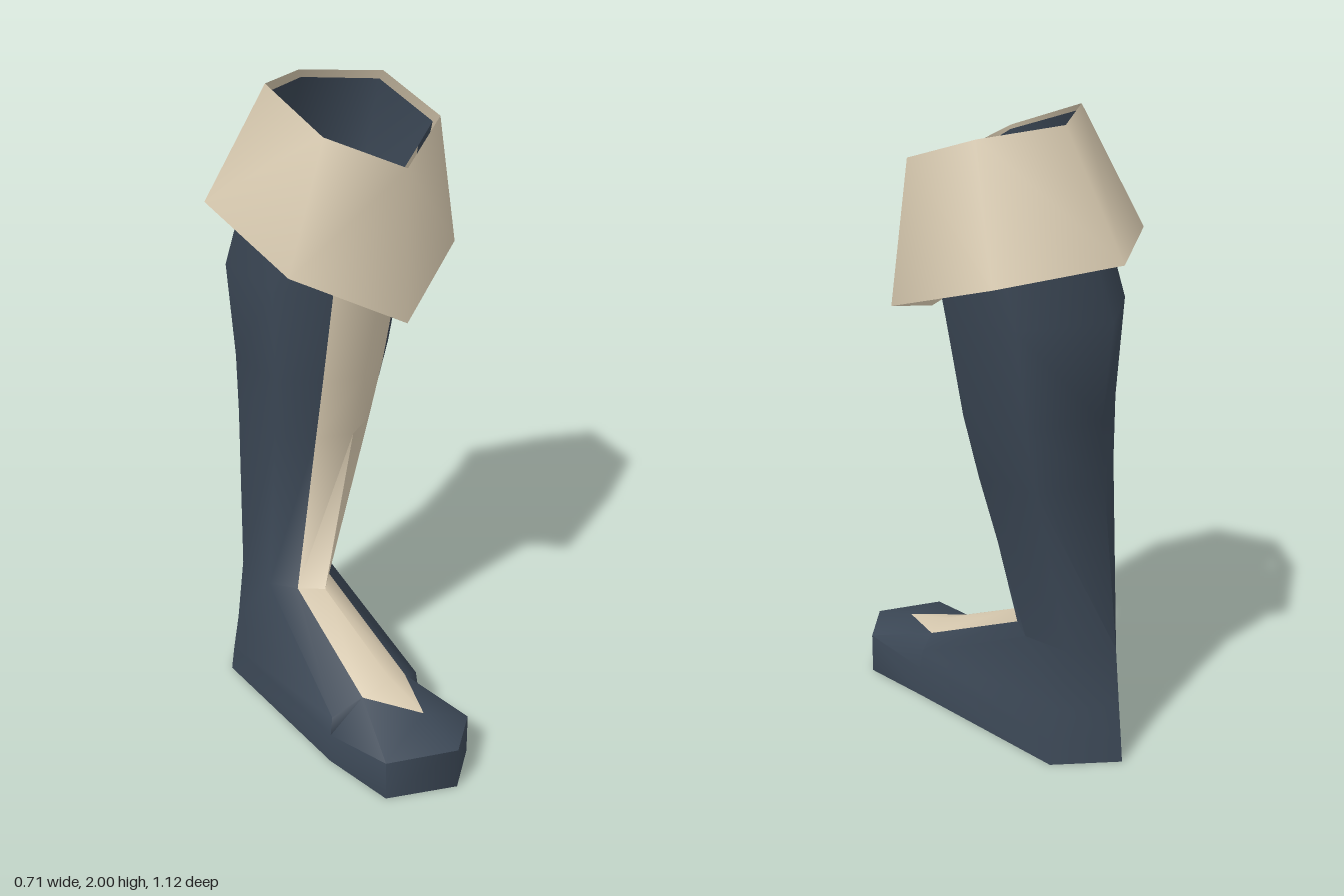
import * as THREE from 'three';
import { toCreasedNormals } from 'three/addons/utils/BufferGeometryUtils.js';

// Joins closed rings (listed top to bottom, each front > +x > back > -x) into a skin.
// Columns in stripCols, above row stripEnd, go in the second material group.
function loft(rings, stripCols = [], stripEnd = 0, closeBottom = false) {
  const n = rings[0].length;
  const main = [], strip = [];
  for (let i = 0; i < rings.length - 1; i++) {
    for (let j = 0; j < n; j++) {
      const k = (j + 1) % n;
      const a = i * n + j, b = i * n + k, c = a + n, d = b + n;
      const out = stripCols.includes(j) && i < stripEnd ? strip : main;
      // mirror the diagonal so both halves match
      if (j < n / 2) out.push(a, c, d, a, d, b);
      else out.push(a, c, b, b, c, d);
    }
  }
  if (closeBottom) {
    const s = (rings.length - 1) * n;
    for (let j = 1; j < n - 1; j++) main.push(s, s + j + 1, s + j);
  }
  const geo = new THREE.BufferGeometry();
  geo.setAttribute('position', new THREE.Float32BufferAttribute(rings.flat(2), 3));
  geo.setIndex([...main, ...strip]);
  geo.addGroup(0, main.length, 0);
  geo.addGroup(main.length, strip.length, 1);
  return toCreasedNormals(geo, 1.2);
}

// A level ring from [x, z] pairs
const level = (y, pts) => pts.map(([x, z]) => [x, y, z]);

export function createModel() {
  const leather = new THREE.MeshStandardMaterial({ color: 0x3b4755, side: THREE.DoubleSide });
  leather.name = 'dark blue leather';
  const cream = new THREE.MeshStandardMaterial({ color: 0xd8cab0, side: THREE.DoubleSide });
  cream.name = 'cream trim';

  // Instep ring, reused at the pointed end of the strip
  const instep = [
    [-0.135, 0.225, 0.25], [-0.065, 0.2, 0.24], [0, 0.165, 0.22], [0.015, 0.19, -0.365],
    [-0.13, 0.19, -0.495], [-0.27, 0.19, -0.365], [-0.345, 0.165, 0.22], [-0.24, 0.2, 0.24],
  ];
  const stripTip = [[-0.135, 0.185, 0.405], ...instep.slice(1)];

  // Columns: front, strip edge, side front, side back, back, then the other side
  const bootRings = [
    // slanted opening
    [[0.03, 1.8, 0.1], [0.13, 1.835, 0.05], [0.24, 1.87, -0.01], [0.25, 1.94, -0.255],
      [0.04, 1.96, -0.36], [-0.155, 1.98, -0.25], [-0.155, 1.9, -0.01], [-0.08, 1.85, 0.04]],
    // calf
    level(1.45, [[0, 0.05], [0.11, 0], [0.23, -0.11], [0.22, -0.36],
      [-0.02, -0.505], [-0.25, -0.37], [-0.27, -0.12], [-0.14, 0]]),
    level(1.15, [[-0.03, 0.005], [0.085, -0.045], [0.19, -0.14], [0.175, -0.36],
      [-0.04, -0.46], [-0.235, -0.36], [-0.25, -0.14], [-0.148, -0.045]]),
    level(0.95, [[-0.05, -0.025], [0.055, -0.075], [0.145, -0.16], [0.13, -0.365],
      [-0.06, -0.462], [-0.23, -0.365], [-0.246, -0.16], [-0.155, -0.075]]),
    // ankle
    level(0.385, [[-0.125, -0.08], [-0.06, -0.14], [-0.005, -0.22], [-0.015, -0.38],
      [-0.13, -0.475], [-0.23, -0.38], [-0.243, -0.22], [-0.19, -0.14]]),
    instep,
    stripTip,
    // toe and upper edge of the sole
    [[-0.135, 0.14, 0.56], [0, 0.135, 0.46], [0.003, 0.1, 0.23], [0.027, 0.08, -0.362],
      [-0.13, 0.08, -0.507], [-0.295, 0.08, -0.362], [-0.352, 0.1, 0.22], [-0.335, 0.135, 0.46]],
    // sole
    level(0, [[-0.135, 0.56], [0, 0.46], [0.007, 0.23], [0.035, -0.36],
      [-0.13, -0.515], [-0.31, -0.36], [-0.355, 0.22], [-0.335, 0.46]]),
  ];
  const boot = new THREE.Mesh(loft(bootRings, [0, 7], 6, true), [leather, cream]);
  boot.name = 'bootWithFrontStrip';

  // Flared six-sided cuff, open at both ends
  const cuffRings = [
    [[0.03, 1.81, 0.12], [0.27, 1.88, -0.01], [0.27, 1.96, -0.26],
      [0.04, 1.98, -0.37], [-0.165, 2, -0.26], [-0.17, 1.91, 0]],
    [[-0.005, 1.37, 0.165], [0.34, 1.48, -0.01], [0.352, 1.6, -0.39],
      [0.015, 1.63, -0.56], [-0.3, 1.65, -0.39], [-0.307, 1.54, 0.01]],
  ];
  const cuff = new THREE.Mesh(loft(cuffRings), [cream, cream]);
  cuff.name = 'cuff';

  const model = new THREE.Group();
  model.name = 'boot';
  model.add(boot, cuff);
  return model;
}
